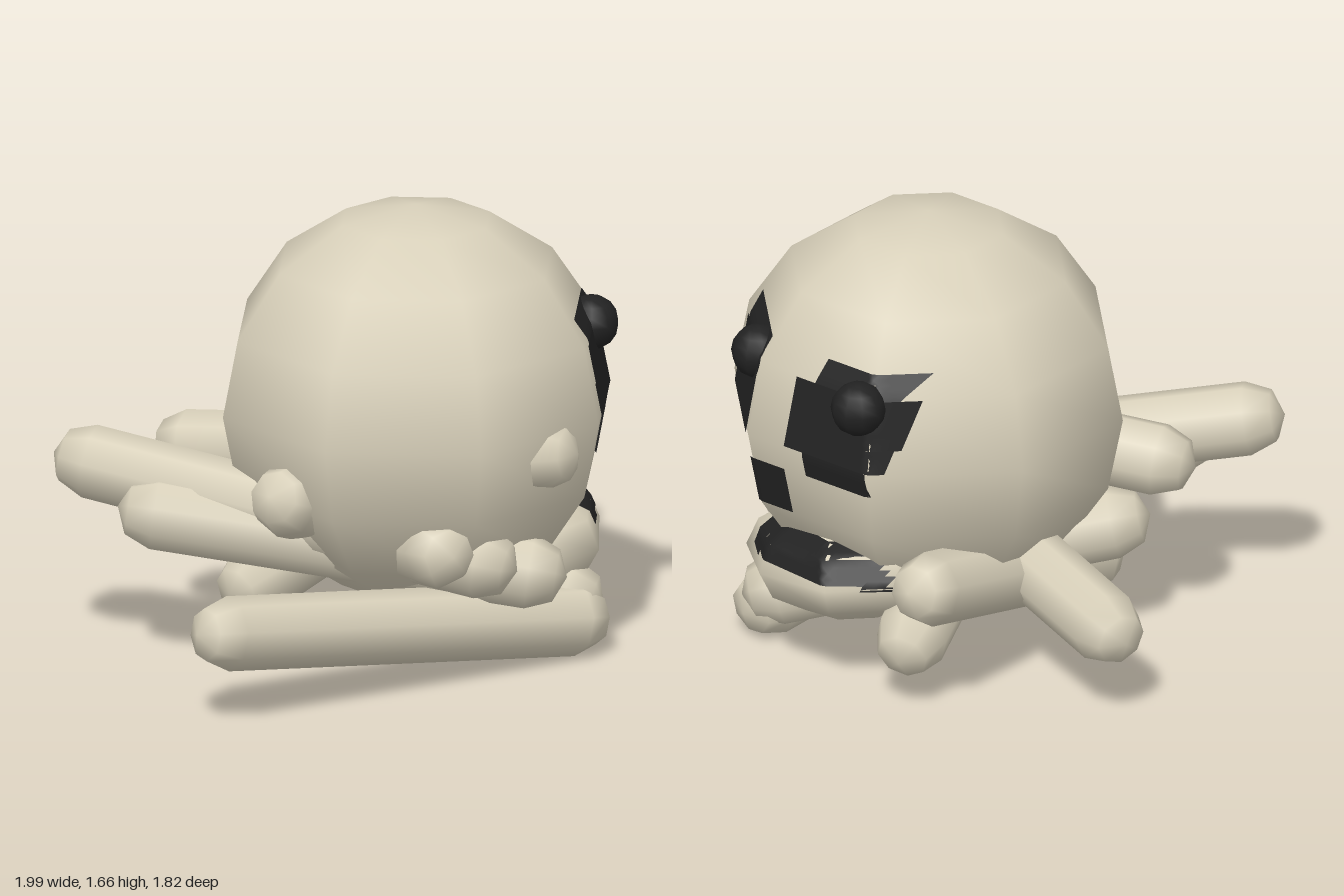
import * as THREE from 'three';

export function createModel() {
  const model = new THREE.Group();
  const bone = new THREE.MeshStandardMaterial({ color: 0xd8d0ba });
  bone.name = 'bone';
  const black = new THREE.MeshStandardMaterial({ color: 0x222222, side: THREE.DoubleSide });
  black.name = 'black';

  const add = (name, geometry, material, x, y, z) => {
    const mesh = new THREE.Mesh(geometry, material);
    mesh.name = name;
    mesh.position.set(x, y, z);
    model.add(mesh);
    return mesh;
  };

  // Skull, an eight-sided smooth ball facing +x
  const skull = add('skull', new THREE.SphereGeometry(0.73, 8, 8), bone, 0.27, 0.955, 0.18);

  // Jaw, a flattened ball under the face
  const jaw = add('jaw', new THREE.SphereGeometry(1, 8, 6), bone, 0.63, 0.425, 0.12);
  jaw.scale.set(0.355, 0.205, 0.43);
  jaw.rotation.x = 0.1;

  // Crossed bones: rounded rods between two end centres
  const rods = [
    [[-0.66, 0.355, 0.825], [0.78, 0.15, 0.43]],
    [[-0.86, 0.74, -0.13], [0.35, 0.48, 0.68]],
    [[-0.69, 0.6, 0.1], [0.55, 0.41, 0.63]],
    [[0.03, 0.365, -0.74], [0.17, 0.55, 0.73]],
    [[-0.44, 0.72, -0.25], [0.58, 0.87, 0.7]],
    [[-0.28, 0.49, -0.2], [0.78, 0.22, 0.37]],
    [[-0.28, 0.27, 0.0], [0.61, 0.53, -0.47]],
    [[-0.31, 0.71, 0.45], [0.6, 0.27, -0.32]],
  ];
  const up = new THREE.Vector3(0, 1, 0);
  for (const [p, q] of rods) {
    const a = new THREE.Vector3(...p), b = new THREE.Vector3(...q);
    const mid = a.clone().add(b).multiplyScalar(0.5);
    const geometry = new THREE.CapsuleGeometry(0.135, a.distanceTo(b), 2, 8);
    const rod = add('crossedBone', geometry, bone, mid.x, mid.y, mid.z);
    rod.quaternion.setFromUnitVectors(up, b.sub(a).normalize());
  }

  // Painted patches: rectangles [zMin, zMax, yMin, yMax] laid onto a surface from +x
  model.updateMatrixWorld(true);
  const ray = new THREE.Raycaster();
  const patch = (name, target, rects) => {
    const points = [], index = [];
    for (const [z0, z1, y0, y1] of rects) {
      const nz = Math.ceil((z1 - z0) / 0.02), ny = Math.ceil((y1 - y0) / 0.02);
      const first = points.length / 3, hits = [];
      for (let j = 0; j <= ny; j++) {
        for (let i = 0; i <= nz; i++) {
          const y = y0 + (y1 - y0) * j / ny, z = z0 + (z1 - z0) * i / nz;
          ray.set(new THREE.Vector3(3, y, z), new THREE.Vector3(-1, 0, 0));
          const hit = ray.intersectObject(target)[0];
          hits.push(!!hit);
          points.push(hit ? hit.point.x + 0.008 : 0, y, z);
        }
      }
      for (let j = 0; j < ny; j++) {
        for (let i = 0; i < nz; i++) {
          const a = j * (nz + 1) + i, c = a + nz + 1;
          if (![a, a + 1, c, c + 1].every((k) => hits[k])) continue;
          index.push(...[a, a + 1, c + 1, a, c + 1, c].map((k) => k + first));
        }
      }
    }
    const geometry = new THREE.BufferGeometry();
    geometry.setAttribute('position', new THREE.Float32BufferAttribute(points, 3));
    geometry.setIndex(index);
    geometry.computeVertexNormals();
    add(name, geometry, black, 0, 0, 0);
  };
  patch('leftEyeSocket', skull, [
    [0.2, 0.56, 1.22, 1.315], [0.2, 0.59, 1.08, 1.22], [0.2, 0.61, 0.955, 1.08], [0.28, 0.45, 0.87, 0.955],
  ]);
  patch('rightEyeSocket', skull, [
    [-0.34, -0.06, 1.23, 1.315], [-0.37, 0.02, 1.05, 1.23], [-0.36, 0.02, 0.965, 1.05], [-0.33, -0.06, 0.87, 0.965],
  ]);
  patch('nose', skull, [[0.035, 0.19, 0.685, 0.865]]);
  patch('mouth', jaw, [
    [0.2, 0.31, 0.455, 0.58], [-0.06, 0.2, 0.475, 0.59], [-0.24, -0.06, 0.475, 0.59], [-0.3, -0.24, 0.455, 0.56],
  ]);

  // Pupils
  add('leftPupil', new THREE.SphereGeometry(0.1, 10, 8), black, 0.895, 1.215, 0.3);
  add('rightPupil', new THREE.SphereGeometry(0.1, 10, 8), black, 0.795, 1.21, -0.28);

  return model;
}
